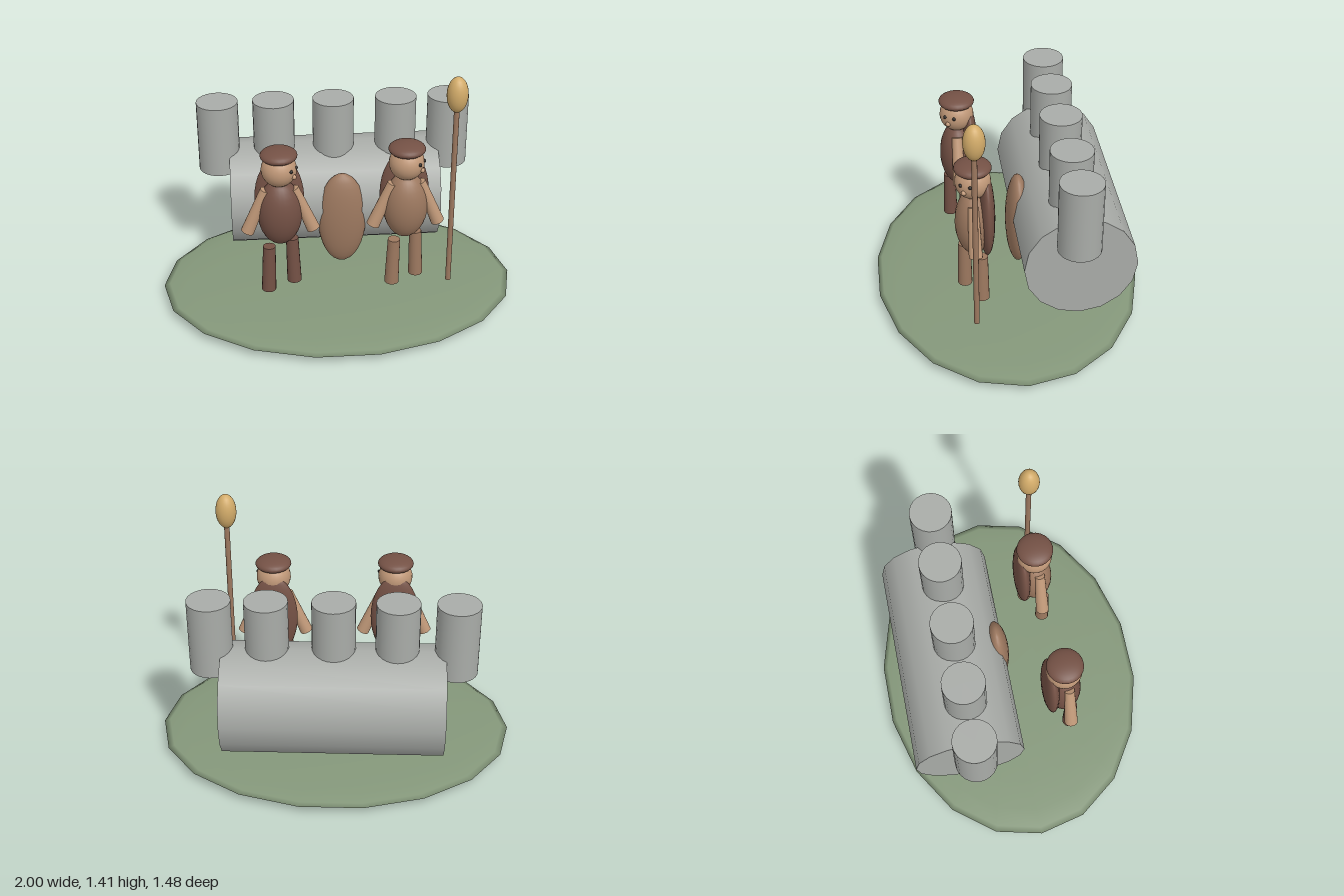
import * as THREE from 'three';

const mat = (name, color) => {
  const m = new THREE.MeshStandardMaterial({ color });
  m.name = name;
  return m;
};

export function createModel() {
  const grass = mat('grass green', 0x84977a);
  const stone = mat('stone grey', 0xa9aca8);
  const tan = mat('tan brown', 0x9c785f);
  const dark = mat('dark brown', 0x745145);
  const skin = mat('skin', 0xc09878);
  const gold = mat('gold', 0xd2ab69);
  const black = mat('eye black', 0x2b2725);

  const model = new THREE.Group();

  const add = (parent, name, geometry, material, x, y, z) => {
    const mesh = new THREE.Mesh(geometry, material);
    mesh.name = name;
    mesh.position.set(x, y, z);
    parent.add(mesh);
    return mesh;
  };
  const ellipsoid = (rx, ry, rz, w = 24, h = 16) =>
    new THREE.SphereGeometry(1, w, h).scale(rx, ry, rz);

  // Flattened ground
  add(model, 'ground', ellipsoid(1, 0.046, 0.75, 18, 12), grass, 0, 0.048, 0);

  // Wall lying along x, with five towers on top
  const wall = add(model, 'wall', new THREE.CylinderGeometry(0.305, 0.305, 1.19, 16), stone, -0.002, 0.478, -0.332);
  wall.rotation.z = Math.PI / 2;
  for (const x of [-0.655, -0.34, -0.002, 0.353, 0.652]) {
    add(model, 'tower', new THREE.CylinderGeometry(0.117, 0.117, 0.412, 24), stone, x, 0.856, -0.305);
  }

  // Door bulging out of the wall
  add(model, 'door', ellipsoid(0.138, 0.286, 0.07), tan, 0.03, 0.419, -0.066);

  // Two guards, each looking towards its left
  const guard = (name, x, z, cloth) => {
    const g = new THREE.Group();
    g.name = name;
    g.position.set(x, 0, z);
    model.add(g);

    add(g, 'body', ellipsoid(0.122, 0.195, 0.1), cloth, 0, 0.655, 0);
    add(g, 'cape', ellipsoid(0.135, 0.255, 0.045), dark, 0, 0.695, -0.07);
    add(g, 'head', ellipsoid(0.096, 0.096, 0.096), skin, 0, 0.915, 0);
    add(g, 'hat', ellipsoid(0.1, 0.037, 0.1), dark, 0, 0.998, 0);

    for (const s of [-1, 1]) {
      const arm = add(g, 'arm', new THREE.CylinderGeometry(0.028, 0.037, 0.273, 16), skin,
        s * 0.127, 0.674, 0.012 - s * 0.005);
      arm.rotation.z = s * 0.385;
      const leg = add(g, 'leg', new THREE.CylinderGeometry(0.034, 0.04, 0.275, 16), cloth,
        s * 0.068, 0.328, 0.005 - s * 0.04);
      leg.rotation.z = s * 0.03;
    }

    // Eyes and nose set on the head by angle
    for (const yaw of [0.73, 1.33]) {
      add(g, 'eye', ellipsoid(0.01, 0.01, 0.01, 10, 8), black,
        0.093 * Math.sin(yaw), 0.932, 0.093 * Math.cos(yaw));
    }
    add(g, 'nose', ellipsoid(0.014, 0.014, 0.014, 10, 8), skin,
      0.095 * Math.sin(0.95), 0.893, 0.095 * Math.cos(0.95));
  };
  guard('rightGuard', -0.33, 0.237, dark);
  guard('leftGuard', 0.353, 0.215, tan);

  // Tall torch beside the left guard
  add(model, 'torchPole', new THREE.CylinderGeometry(0.015, 0.015, 1.08, 12), tan, 0.605, 0.705, 0.229);
  add(model, 'torchFlame', ellipsoid(0.057, 0.1, 0.057), gold, 0.605, 1.31, 0.229);

  return model;
}
